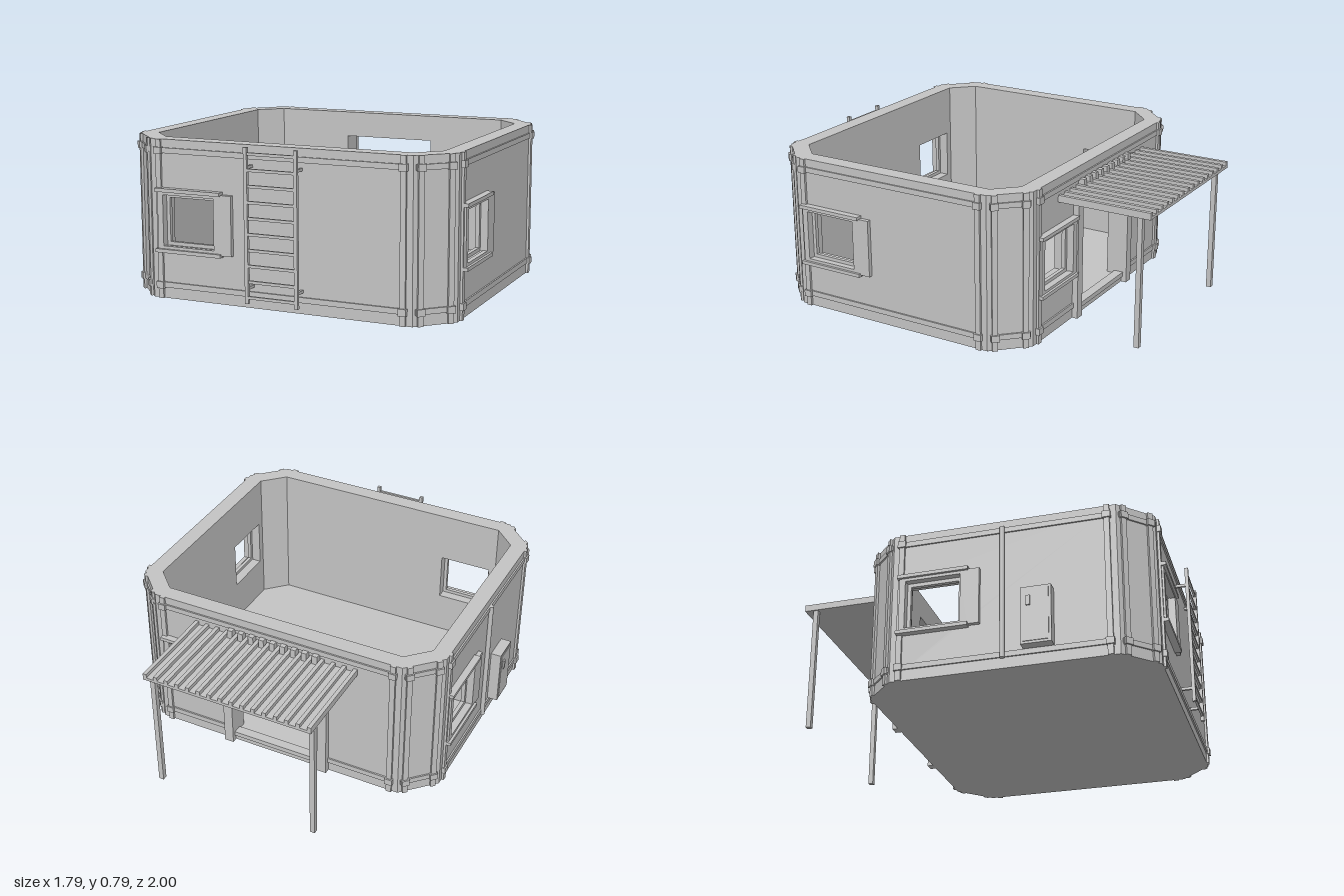
import * as THREE from 'three';

const GREY = new THREE.MeshStandardMaterial({ color: 0xc4c4c4 });
GREY.name = 'plain grey';

const H = 0.79;              // wall height
const T = 0.085;             // wall thickness
const CX = 0.012, CZ = 0.21; // centre of the hut
const HX = 0.845, HZ = 0.72; // half sizes of the hut
const CH = 0.16;             // corner cut
const MITRE = T * Math.tan(Math.PI / 8);

function add(parent, name, geometry, x = 0, y = 0, z = 0) {
  const mesh = new THREE.Mesh(geometry, GREY);
  mesh.name = name;
  mesh.position.set(x, y, z);
  parent.add(mesh);
  return mesh;
}

// box given by its limits on each axis
function block(parent, name, x0, x1, y0, y1, z0, z1) {
  return add(parent, name, new THREE.BoxGeometry(x1 - x0, y1 - y0, z1 - z0),
    (x0 + x1) / 2, (y0 + y1) / 2, (z0 + z1) / 2);
}

function rect(kind, x0, x1, y0, y1) {
  const p = new kind();
  p.moveTo(x0, y0);
  p.lineTo(x1, y0);
  p.lineTo(x1, y1);
  p.lineTo(x0, y1);
  p.closePath();
  return p;
}

// flat frame: outer and inner limits, depth range
function frame(parent, name, o, i, z0, z1) {
  const s = rect(THREE.Shape, ...o);
  s.holes.push(rect(THREE.Path, ...i));
  add(parent, name, new THREE.ExtrudeGeometry(s, { depth: z1 - z0, bevelEnabled: false }), 0, 0, z0);
}

// wall panel with its outer face at z = 0 and mitred inner ends
function wall(parent, name, length, holes) {
  const s = rect(THREE.Shape, -length / 2, length / 2, 0, H);
  for (const h of holes) s.holes.push(rect(THREE.Path, ...h));
  const g = new THREE.ExtrudeGeometry(s, { depth: T, bevelEnabled: false });
  g.translate(0, 0, -T);
  const p = g.attributes.position;
  for (let k = 0; k < p.count; k++) {
    const x = p.getX(k);
    if (p.getZ(k) < -T / 2 && Math.abs(x) > length / 2 - 1e-4) p.setX(k, x - Math.sign(x) * MITRE);
  }
  g.computeVertexNormals();
  add(parent, name, g);
}

// upright strip with a clip at each rail
function strip(parent, u) {
  block(parent, 'cornerStrip', u - 0.014, u + 0.014, 0, H, -0.002, 0.012);
  for (const y of [0.05, 0.718])
    block(parent, 'stripClip', u - 0.02, u + 0.02, y, y + 0.034, -0.002, 0.02);
}

function rails(parent, u0, u1, ys = [0.055, 0.722]) {
  for (const y of ys) block(parent, 'wallRail', u0, u1, y, y + 0.027, -0.002, 0.008);
}

// window centred on u, with ledges and a shutter pocket
function windowUnit(parent, u) {
  const g = new THREE.Group();
  g.name = 'window';
  g.position.x = u;
  parent.add(g);
  frame(g, 'windowCasing', [-0.17, 0.178, 0.25, 0.538], [-0.14, 0.14, 0.267, 0.52], -0.002, 0.022);
  frame(g, 'windowSash', [-0.142, 0.142, 0.265, 0.522], [-0.122, 0.122, 0.283, 0.503], -0.035, -0.015);
  for (const y of [0.235, 0.535]) block(g, 'windowLedge', -0.18, 0.18, y, y + 0.018, -0.002, 0.035);
  block(g, 'shutterPocket', 0.178, 0.235, 0.245, 0.54, -0.002, 0.022);
}

function side(parent, name, x, z, angle) {
  const g = new THREE.Group();
  g.name = name;
  g.position.set(x, 0, z);
  g.rotation.y = angle;
  parent.add(g);
  return g;
}

export function createModel() {
  const model = new THREE.Group();
  model.name = 'hut';

  // four long walls, each with a window
  const defs = [
    ['frontWall', CX, CZ + HZ, 0, HX],
    ['leftWall', CX + HX, CZ, Math.PI / 2, HZ],
    ['backWall', CX, CZ - HZ, Math.PI, HX],
    ['rightWall', CX - HX, CZ, -Math.PI / 2, HZ],
  ];
  const sides = {};
  for (const [name, x, z, angle, half] of defs) {
    const g = sides[name] = side(model, name, x, z, angle);
    const L = 2 * (half - CH), end = L / 2 - 0.045, u = -L / 2 + 0.213;
    const holes = [[u - 0.14, u + 0.14, 0.265, 0.522]];
    if (name === 'backWall') {
      holes.push([-0.247, 0.247, 0.04, 0.655]);
      rails(g, -end, -0.29, [0.055]);
      rails(g, 0.29, end, [0.055]);
      rails(g, -end, end, [0.722]);
    } else rails(g, -end, end);
    wall(g, name + 'Panel', L, holes);
    windowUnit(g, u);
    for (const s of [-1, 1]) strip(g, s * end);
  }

  // cut corners
  const cut = CH * Math.SQRT2;
  for (const sx of [-1, 1]) for (const sz of [-1, 1]) {
    const g = side(model, 'cornerWall', CX + sx * (HX - CH / 2), CZ + sz * (HZ - CH / 2), Math.atan2(sx, sz));
    wall(g, 'cornerPanel', cut, []);
    rails(g, -0.1, 0.1);
    for (const s of [-1, 1]) strip(g, s * 0.076);
  }

  // floor fitted inside the walls
  const a = HX - T, b = HZ - T, c = CH - T * (2 - Math.SQRT2);
  const floor = new THREE.Shape([
    [a, c - b], [a, b - c], [a - c, b], [c - a, b], [-a, b - c], [-a, c - b], [c - a, -b], [a - c, -b],
  ].map(p => new THREE.Vector2(...p)));
  const fg = new THREE.ExtrudeGeometry(floor, { depth: 0.04, bevelEnabled: false });
  fg.rotateX(-Math.PI / 2);
  add(model, 'floor', fg, CX, 0, CZ);

  // ladder on the front
  const ladder = new THREE.Group();
  ladder.name = 'ladder';
  model.add(ladder);
  for (const x of [-0.12, 0.14]) {
    block(ladder, 'ladderRail', x - 0.009, x + 0.009, 0.037, 0.787, 0.98, 0.998);
    for (const y of [0.11, 0.69])
      block(ladder, 'ladderBracket', x - 0.006, x + 0.006, y - 0.007, y + 0.007, 0.925, 0.985);
  }
  for (let k = 0; k < 10; k++) {
    const y = 0.067 + k * 0.0765;
    block(ladder, 'ladderRung', -0.113, 0.133, y - 0.007, y + 0.007, 0.983, 0.995);
  }

  // meter box and conduit on the right wall
  const r = sides.rightWall;
  block(r, 'meterBox', 0.1, 0.25, 0.085, 0.38, -0.002, 0.054);
  block(r, 'meterBoxDoor', 0.112, 0.238, 0.097, 0.368, 0.053, 0.058);
  block(r, 'meterBoxLatch', 0.13, 0.15, 0.28, 0.33, 0.057, 0.066);
  add(r, 'conduit', new THREE.CylinderGeometry(0.012, 0.012, 0.7, 12), 0, 0.4, 0.012);

  // doorway trim, hood and vent teeth on the back wall
  const back = sides.backWall;
  for (const s of [-1, 1])
    block(back, 'doorPost', s * 0.272 - 0.025, s * 0.272 + 0.025, 0, 0.655, -0.002, 0.03);
  block(back, 'doorSill', -0.247, 0.247, 0.03, 0.055, -0.04, 0.01);
  block(back, 'doorHood', -0.26, 0.26, 0.652, 0.668, -0.002, 0.17);
  for (let k = -4; k <= 4; k++)
    block(back, 'ventTooth', k * 0.059 - 0.014, k * 0.059 + 0.014, 0.675, 0.728, -0.002, 0.033);

  // ribbed canopy on two posts
  const canopy = new THREE.Group();
  canopy.name = 'canopy';
  model.add(canopy);
  block(canopy, 'canopySheet', -0.44, 0.464, 0.667, 0.682, -1, -0.508);
  for (let k = 0; k < 16; k++) {
    const x = -0.43 + k * (0.884 / 15);
    block(canopy, 'canopyRib', x - 0.01, x + 0.01, 0.68, 0.702, -1, -0.508);
  }
  for (const x of [-0.42, 0.444])
    block(canopy, 'canopyPost', x - 0.013, x + 0.013, 0, 0.67, -0.955, -0.929);

  return model;
}
